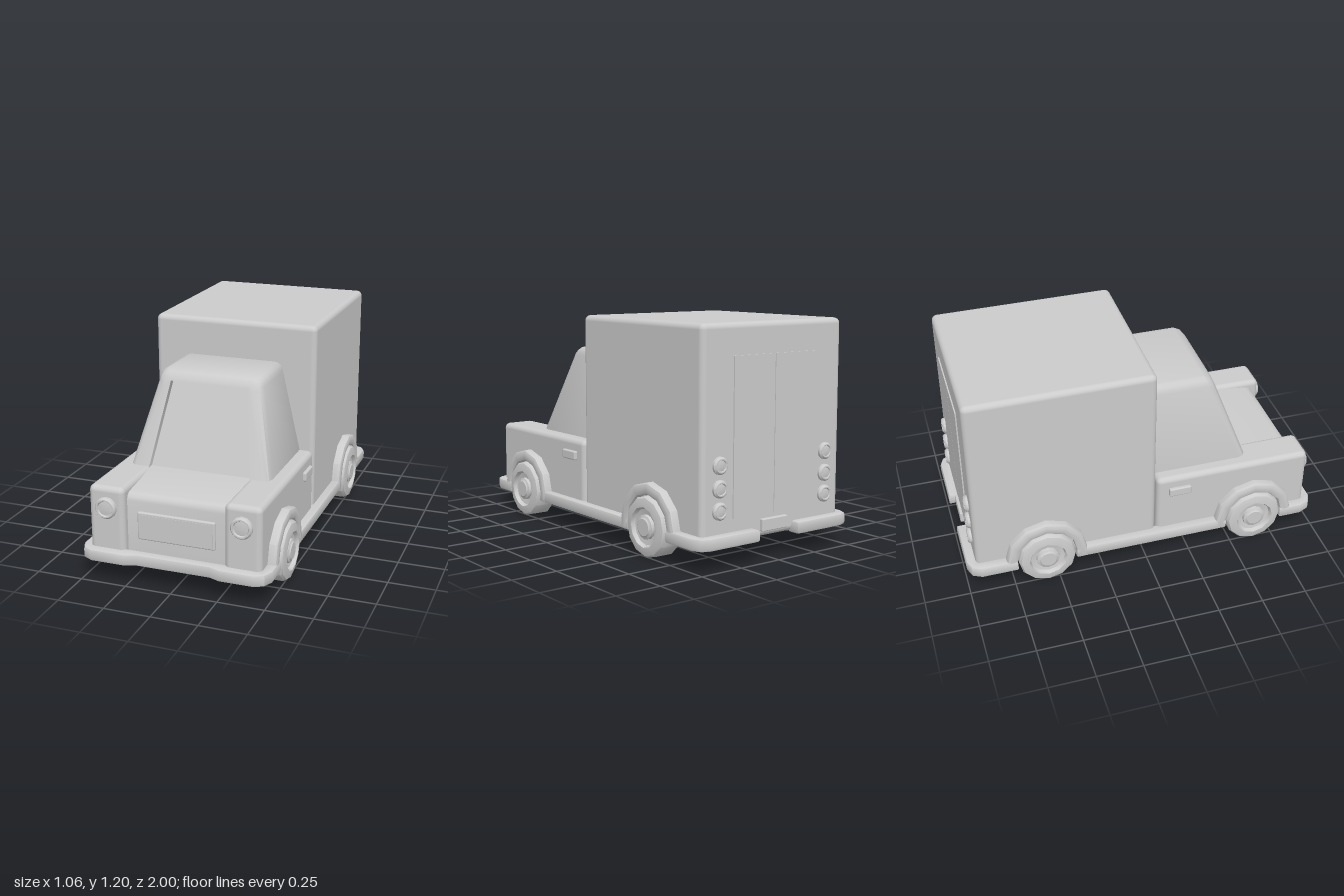
import * as THREE from 'three';
import { toCreasedNormals } from 'three/addons/utils/BufferGeometryUtils.js';
import { RoundedBoxGeometry } from 'three/addons/geometries/RoundedBoxGeometry.js';

const grey = new THREE.MeshStandardMaterial({ color: 0xcccccc });

export function createModel() {
  const model = new THREE.Group();

  const add = (name, geometry, x = 0, y = 0, z = 0, parent = model) => {
    const mesh = new THREE.Mesh(geometry, grey);
    mesh.name = name;
    mesh.position.set(x, y, z);
    parent.add(mesh);
    return mesh;
  };

  // Rounded block given by its limits on each axis
  const block = (name, [x0, x1], [y0, y1], [z0, z1], r) =>
    add(name, new RoundedBoxGeometry(x1 - x0, y1 - y0, z1 - z0, 3, r),
      (x0 + x1) / 2, (y0 + y1) / 2, (z0 + z1) / 2);

  // Bevelled extrusion that stays inside its outline
  const extrude = (points, depth, bevel) => toCreasedNormals(new THREE.ExtrudeGeometry(
    new THREE.Shape(points.map(([x, y]) => new THREE.Vector2(x, y))), {
      depth: depth - 2 * bevel, bevelThickness: bevel, bevelSize: bevel,
      bevelOffset: -bevel, bevelSegments: 2,
    }).translate(0, 0, bevel), 0.6);

  // Horizontal plate from an outline in x and z
  const plate = (name, points) =>
    add(name, extrude(points, 0.065, 0.014).rotateX(Math.PI / 2), 0, 0.175, 0);

  // Round part along z or x, from a profile of [radius, distance]
  const lathe = (profile, sides) => toCreasedNormals(new THREE.LatheGeometry(
    profile.map(([r, h]) => new THREE.Vector2(r, h)), sides), 0.6);

  // Cargo box with two rear doors and a plate
  block('cargoBox', [-0.465, 0.465], [0.12, 1.2], [-0.95, 0.06], 0.03);
  for (const s of [-1, 1]) {
    add('rearDoor', new THREE.BoxGeometry(0.266, 0.8, 0.02), s * 0.135, 0.64, -0.947);
  }
  block('rearPlate', [-0.085, 0.085], [0.15, 0.215], [-0.97, -0.94], 0.006);

  // Fenders either side of a lower, sloping hood
  for (const s of [-1, 1]) {
    block('fender', s > 0 ? [0.27, 0.465] : [-0.465, -0.27], [0.12, 0.51], [0.068, 0.95], 0.03);
  }
  const hoodProfile = [[-0.07, 0.12], [-0.07, 0.49], [-0.6, 0.503], [-0.86, 0.477],
    [-0.885, 0.47], [-0.9, 0.455], [-0.905, 0.435], [-0.905, 0.12]];
  add('hood', extrude(hoodProfile, 0.6, 0).rotateY(Math.PI / 2), -0.3);
  block('grille', [-0.21, 0.21], [0.235, 0.385], [0.88, 0.92], 0.008);
  add('grillePanel', new THREE.BoxGeometry(0.395, 0.125, 0.02), 0, 0.31, 0.912);

  // Cabin: rounded trapezoid loops from the back wall to the recessed windscreen
  const frontZ = y => 0.605 - (y - 0.51) * 0.36;
  const loop = (bottom, top, y0, y1, r, zAt) => {
    const corners = [[bottom, y0, -1], [top, y1, 0], [-top, y1, 1], [-bottom, y0, 2]];
    const out = [];
    for (const [cx, cy, q] of corners) {
      const ox = cx - Math.sign(cx) * r, oy = cy + (cy === y0 ? r : -r);
      for (let i = 0; i <= 4; i++) {
        const a = (q + i / 4) * Math.PI / 2;
        const x = ox + r * Math.cos(a), y = oy + r * Math.sin(a);
        out.push([x, y, zAt(y)]);
      }
    }
    return out;
  };
  const outer = (inset, zAt) =>
    loop(0.406 - inset, 0.292 - inset, 0.4 + inset, 1 - inset, 0.05, zAt);
  const opening = zAt => loop(0.286, 0.215, 0.47, 0.945, 0.004, zAt);
  const loops = [
    outer(0.025, () => 0.07), outer(0.007, () => 0.078), outer(0, () => 0.095),
    outer(0, y => frontZ(y) - 0.045), outer(0.012, y => frontZ(y) - 0.014),
    outer(0.04, frontZ), opening(frontZ), opening(y => frontZ(y) - 0.04),
  ];
  const n = loops[0].length, index = [];
  for (let k = 0; k < loops.length - 1; k++) {
    for (let i = 0; i < n; i++) {
      const a = k * n + i, b = k * n + (i + 1) % n;
      index.push(a, b, b + n, a, b + n, a + n);
    }
  }
  const last = (loops.length - 1) * n;
  for (let i = 1; i < n - 1; i++) {
    index.push(0, i + 1, i, last, last + i, last + i + 1);
  }
  const cabin = new THREE.BufferGeometry();
  cabin.setAttribute('position', new THREE.Float32BufferAttribute(loops.flat(2), 3));
  cabin.setIndex(index);
  add('cabin', toCreasedNormals(cabin, 0.7));

  // Front bumper, wrapping both corners
  const half = [[0.2, 0.978], [0.26, 1], [0.44, 1], [0.49, 0.975], [0.515, 0.92],
    [0.515, 0.79], [0.45, 0.79], [0.45, 0.92]];
  plate('frontBumper', [...half, ...half.map(([x, z]) => [-x, z]).reverse()]);

  // Side skirts, split rear bumper and door handles
  for (const s of [-1, 1]) {
    plate('sideSkirt', [[0.44, -0.4], [0.51, -0.4], [0.51, 0.465], [0.44, 0.465]]
      .map(([x, z]) => [s * x, z]));
    plate('rearBumper', [[0.13, -1], [0.44, -1], [0.49, -0.98], [0.515, -0.93],
      [0.515, -0.73], [0.45, -0.73], [0.45, -0.93], [0.13, -0.93]].map(([x, z]) => [s * x, z]));
    block('doorHandle', s > 0 ? [0.45, 0.483] : [-0.483, -0.45], [0.395, 0.445], [0.135, 0.26], 0.008);
  }

  // Head lamps and stacked tail lamps
  const headLamp = lathe([[0.058, -0.02], [0.058, 0.015], [0.05, 0.025], [0.042, 0.025],
    [0.038, 0.016], [0, 0.022]], 14).rotateX(Math.PI / 2);
  const tailLamp = lathe([[0.045, -0.02], [0.045, 0.012], [0.036, 0.021], [0.03, 0.021],
    [0.027, 0.016], [0, 0.022]], 14).rotateX(-Math.PI / 2);
  for (const s of [-1, 1]) {
    add('headLamp', headLamp, s * 0.365, 0.4, 0.95);
    for (const y of [0.29, 0.4, 0.515]) add('tailLamp', tailLamp, s * 0.355, y, -0.95);
  }

  // Wheel: tyre, recessed rim and hub in one profile, facing +x
  const wheel = lathe([[0, -0.065], [0.15, -0.065], [0.16, -0.055], [0.16, 0.04], [0.15, 0.055],
    [0.115, 0.065], [0.105, 0.065], [0.095, 0.045], [0.065, 0.04], [0.063, 0.056],
    [0.05, 0.06], [0.045, 0.066], [0, 0.066]], 12).rotateZ(-Math.PI / 2);

  // Wheel arch: half ring with short straight ends
  const arc = r => Array.from({ length: 7 }, (_, i) =>
    [r * Math.cos(i * Math.PI / 6), r * Math.sin(i * Math.PI / 6)]);
  const archOutline = [[0.228, -0.05], ...arc(0.228), [-0.228, -0.05],
    [-0.165, -0.05], ...arc(0.165).reverse(), [0.165, -0.05]];
  const arch = extrude(archOutline, 0.11, 0.018).rotateY(Math.PI / 2);

  const axle = new THREE.CylinderGeometry(0.065, 0.065, 0.82, 12).rotateZ(Math.PI / 2);
  for (const z of [0.63, -0.565]) {
    add('axle', axle, 0, 0.16, z);
    for (const s of [-1, 1]) {
      const corner = new THREE.Group();
      corner.name = 'wheelAssembly';
      corner.position.set(0, 0.16, z);
      corner.rotation.y = s > 0 ? 0 : Math.PI;
      model.add(corner);
      add('wheel', wheel, 0.463, 0, 0, corner);
      add('wheelArch', arch, 0.402, 0, 0, corner);
    }
  }
  return model;
}
